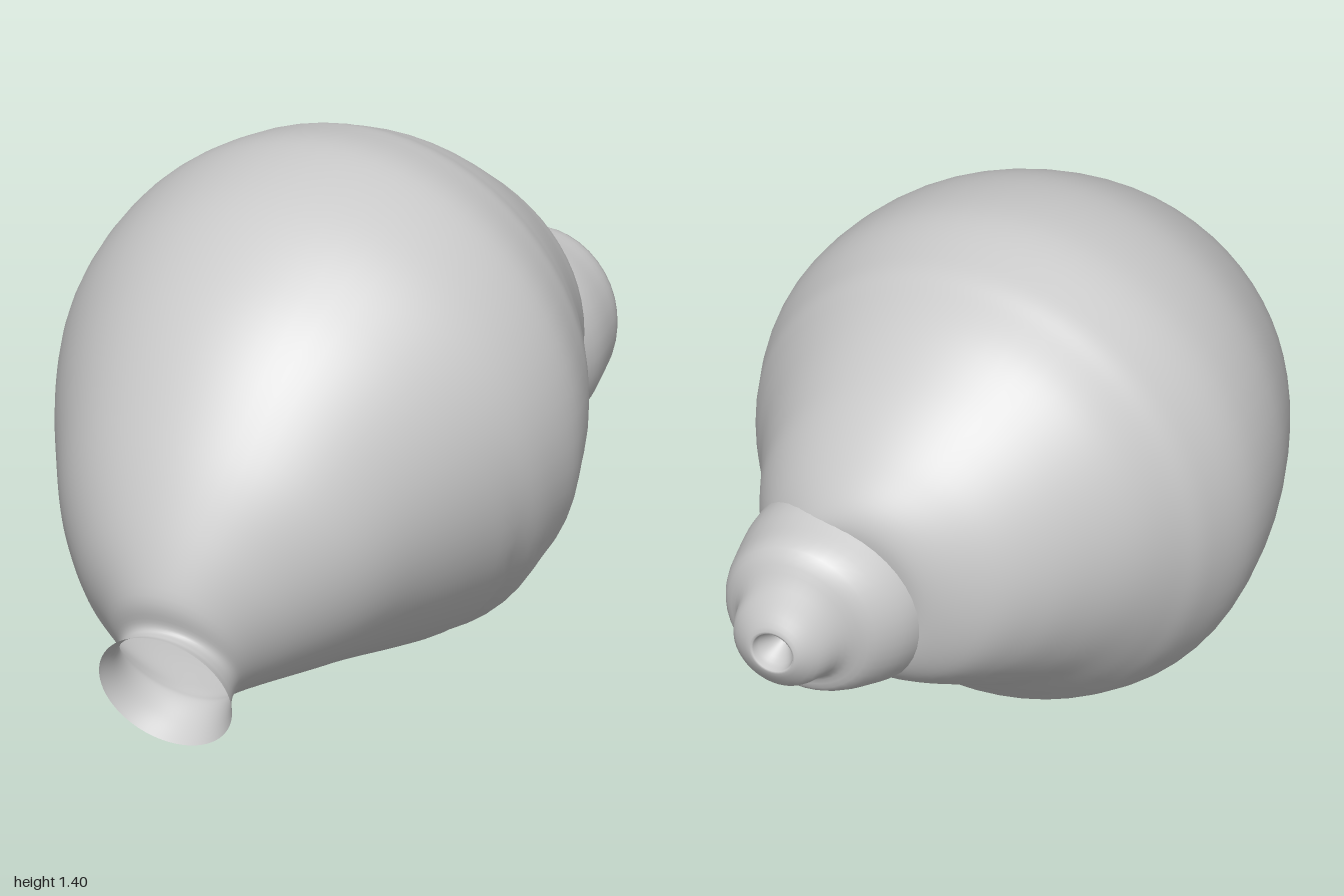
import * as THREE from 'three';

const material = new THREE.MeshStandardMaterial({ color: 0xcccccc, side: THREE.DoubleSide });

// Skin over tilted oval sections: [topY, topZ, bottomY, bottomZ, minX, maxX]
function loft(name, sections, steps, sides, rule) {
  const upper = new THREE.CatmullRomCurve3(sections.map(s => new THREE.Vector3(s[4], s[0], s[1])), false, 'catmullrom', 0.5);
  const lower = new THREE.CatmullRomCurve3(sections.map(s => new THREE.Vector3(s[5], s[2], s[3])), false, 'catmullrom', 0.5);
  const rows = (sections.length - 1) * steps;
  const positions = [], indices = [];
  for (let i = 0; i <= rows; i++) {
    const u = upper.getPoint(i / rows), l = lower.getPoint(i / rows);
    const center = new THREE.Vector3((u.x + l.x) / 2, (u.y + l.y) / 2, (u.z + l.z) / 2);
    for (let j = 0; j < sides; j++) {
      const a = (j / sides) * Math.PI * 2, s = Math.sin(a);
      const p = new THREE.Vector3(
        center.x + (l.x - u.x) / 2 * Math.cos(a),
        center.y + (u.y - l.y) / 2 * s,
        center.z + (u.z - l.z) / 2 * s);
      if (rule) p.lerp(center, rule(p));
      positions.push(p.x, p.y, p.z);
      if (i < rows) {
        const k = (j + 1) % sides, r = i * sides, n = r + sides;
        indices.push(r + j, n + j, r + k, n + j, n + k, r + k);
      }
    }
  }
  const geometry = new THREE.BufferGeometry();
  geometry.setAttribute('position', new THREE.Float32BufferAttribute(positions, 3));
  geometry.setIndex(indices);
  geometry.computeVertexNormals();
  const mesh = new THREE.Mesh(geometry, material);
  mesh.name = name;
  return mesh;
}

// Fraction by which the surface sinks: a slanted groove and faint growth rings
function growthLines(p) {
  const side = THREE.MathUtils.smoothstep(p.x, -0.45, 0.1);
  const low = 1 - THREE.MathUtils.smoothstep(p.y, 0.1, 0.85);
  const s = p.z + 0.03 - 0.4 * p.y;
  const groove = 0.022 * Math.exp(-((s / 0.03) ** 2));
  const rings = s < -0.06 && p.z > -0.6 ? 0.008 * (1 - Math.cos((s + 0.06) * 34)) : 0;
  return side * low * (groove + rings);
}

export function createModel() {
  const group = new THREE.Group();
  group.name = 'shell';

  // Flared mouth, narrow neck and the large round whorl
  group.add(loft('bodyWhorl', [
    [0.42, 1.00, 0.07, 0.87, -0.20, 0.175],
    [0.415, 0.97, 0.105, 0.81, -0.175, 0.15],
    [0.43, 0.945, 0.137, 0.75, -0.18, 0.14],
    [0.52, 0.955, 0.14, 0.71, -0.22, 0.17],
    [0.69, 0.90, 0.137, 0.64, -0.33, 0.27],
    [0.88, 0.80, 0.12, 0.50, -0.44, 0.40],
    [1.08, 0.65, 0.09, 0.35, -0.53, 0.50],
    [1.23, 0.48, 0.05, 0.18, -0.615, 0.60],
    [1.35, 0.26, 0.02, 0.04, -0.68, 0.68],
    [1.40, 0.00, 0.00, -0.07, -0.70, 0.70],
    [1.37, -0.20, 0.05, -0.20, -0.66, 0.65],
    [1.33, -0.30, 0.12, -0.30, -0.61, 0.60],
    [1.28, -0.40, 0.205, -0.40, -0.55, 0.54],
    [1.21, -0.50, 0.265, -0.50, -0.47, 0.49],
    [1.13, -0.60, 0.32, -0.60, -0.38, 0.445],
    [1.03, -0.70, 0.38, -0.69, -0.27, 0.38],
    [0.92, -0.78, 0.45, -0.74, -0.13, 0.30],
    [0.82, -0.785, 0.52, -0.74, -0.03, 0.25],
    [0.66, -0.74, 0.65, -0.74, 0.13, 0.14],
  ], 6, 64, growthLines));

  // Smaller whorl tapering to a knob with a hollow tip
  group.add(loft('spire', [
    [0.90, -0.58, 0.33, -0.55, -0.06, 0.44],
    [0.90, -0.70, 0.33, -0.66, -0.10, 0.45],
    [0.875, -0.80, 0.365, -0.77, -0.08, 0.435],
    [0.845, -0.89, 0.395, -0.85, -0.02, 0.41],
    [0.77, -0.935, 0.445, -0.875, 0.05, 0.36],
    [0.71, -0.97, 0.455, -0.945, 0.10, 0.345],
    [0.65, -1.00, 0.525, -1.00, 0.15, 0.28],
    [0.635, -0.975, 0.54, -0.975, 0.165, 0.265],
    [0.60, -0.91, 0.58, -0.91, 0.205, 0.225],
  ], 4, 40));

  return group;
}
